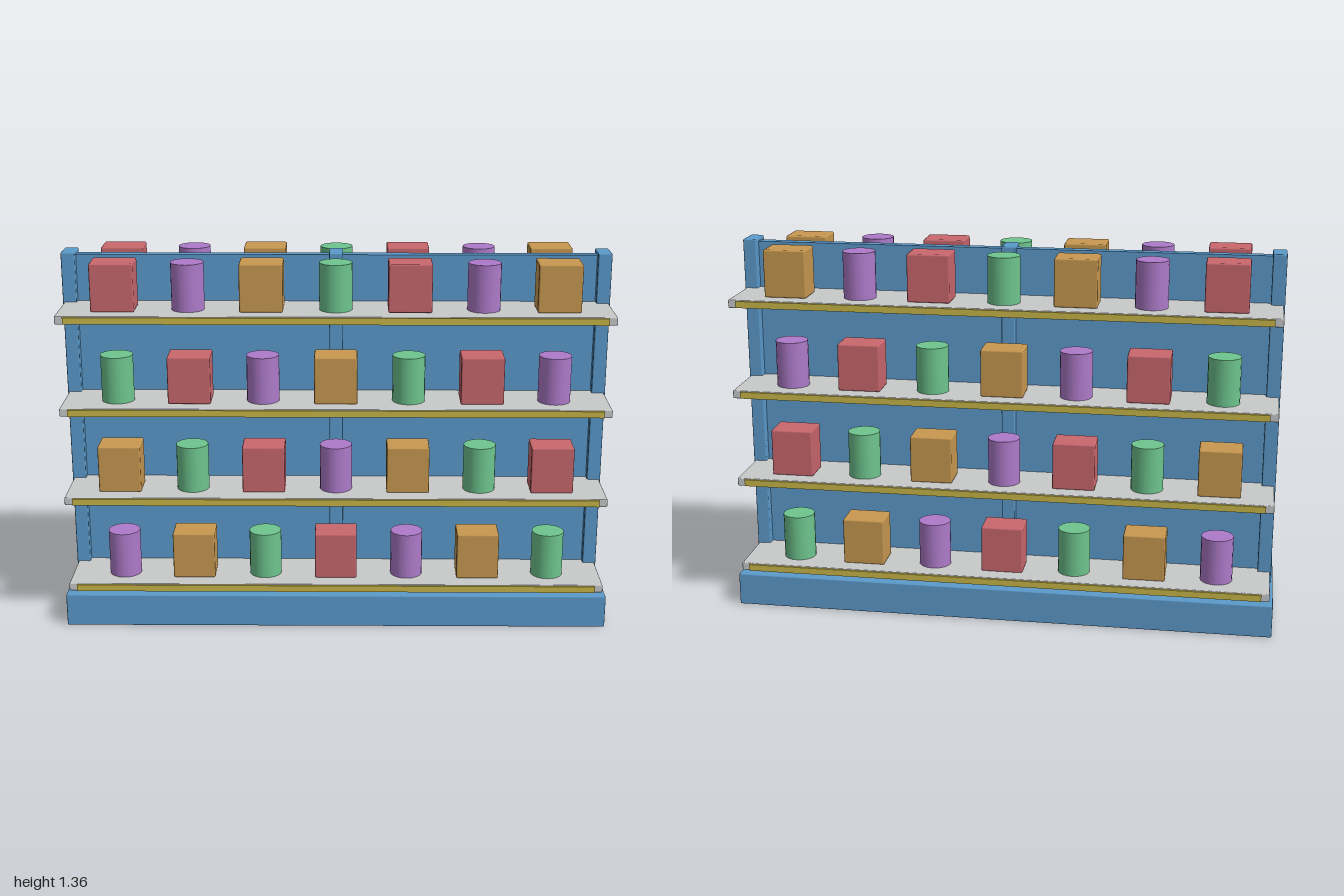
import * as THREE from 'three';
import { RoundedBoxGeometry } from 'three/addons/geometries/RoundedBoxGeometry.js';

const paint = (name, color) => {
  const m = new THREE.MeshStandardMaterial({ color });
  m.name = name;
  return m;
};

export function createModel() {
  const blue = paint('frameBlue', 0x5b9acb);
  const grey = paint('shelfGrey', 0xc8c9ca);
  const yellow = paint('stripYellow', 0xc9b748);
  const red = paint('boxRed', 0xc9686e);
  const purple = paint('canPurple', 0xae7bca);
  const orange = paint('boxOrange', 0xc89850);
  const green = paint('canGreen', 0x6ec58e);

  const model = new THREE.Group();
  model.name = 'storeShelf';

  const add = (parent, name, geometry, material, x, y, z) => {
    const mesh = new THREE.Mesh(geometry, material);
    mesh.name = name;
    mesh.position.set(x, y, z);
    parent.add(mesh);
    return mesh;
  };
  const block = (w, h, d, bevel = 0.005) => new RoundedBoxGeometry(w, h, d, 1, bevel);

  // Plinth, central panel and three uprights
  const baseTop = 0.123;
  add(model, 'base', block(1.996, baseTop, 0.54), blue, 0, baseTop / 2, 0);
  add(model, 'backPanel', new THREE.BoxGeometry(1.9, 1.23, 0.037), blue, 0, 0.735, 0);
  const post = block(0.05, 1.242, 0.1);
  for (const x of [-0.965, 0, 0.965]) add(model, 'post', post, blue, x, 0.741, 0);

  // Shared shelf and product geometry
  const board = block(1.97, 0.03, 0.247, 0.004);
  const strip = new THREE.BoxGeometry(1.91, 0.024, 0.009);
  const carton = block(0.155, 0.174, 0.118, 0.006);
  const can = new THREE.CylinderGeometry(0.059, 0.059, 0.17, 20);
  const cycle = [
    ['redBox', carton, red, 0.087],
    ['purpleCan', can, purple, 0.085],
    ['orangeBox', carton, orange, 0.087],
    ['greenCan', can, green, 0.085],
  ];

  // Four stocked shelves on each side of the panel
  for (const side of [1, -1]) {
    for (let row = 0; row < 4; row++) {
      const top = 0.166 + row * 0.338;
      const tier = new THREE.Group();
      tier.name = side > 0 ? 'frontShelf' : 'backShelf';
      model.add(tier);
      add(tier, 'shelfBoard', board, grey, 0, top - 0.015, side * 0.1395);
      add(tier, 'priceStrip', strip, yellow, 0, top - 0.015, side * 0.267);
      for (let i = 0; i < 7; i++) {
        const [name, geometry, material, half] = cycle[(i + row + 1) % 4];
        add(tier, name, geometry, material, (i - 3) * 0.263, top + half, side * 0.146);
      }
    }
  }
  return model;
}
